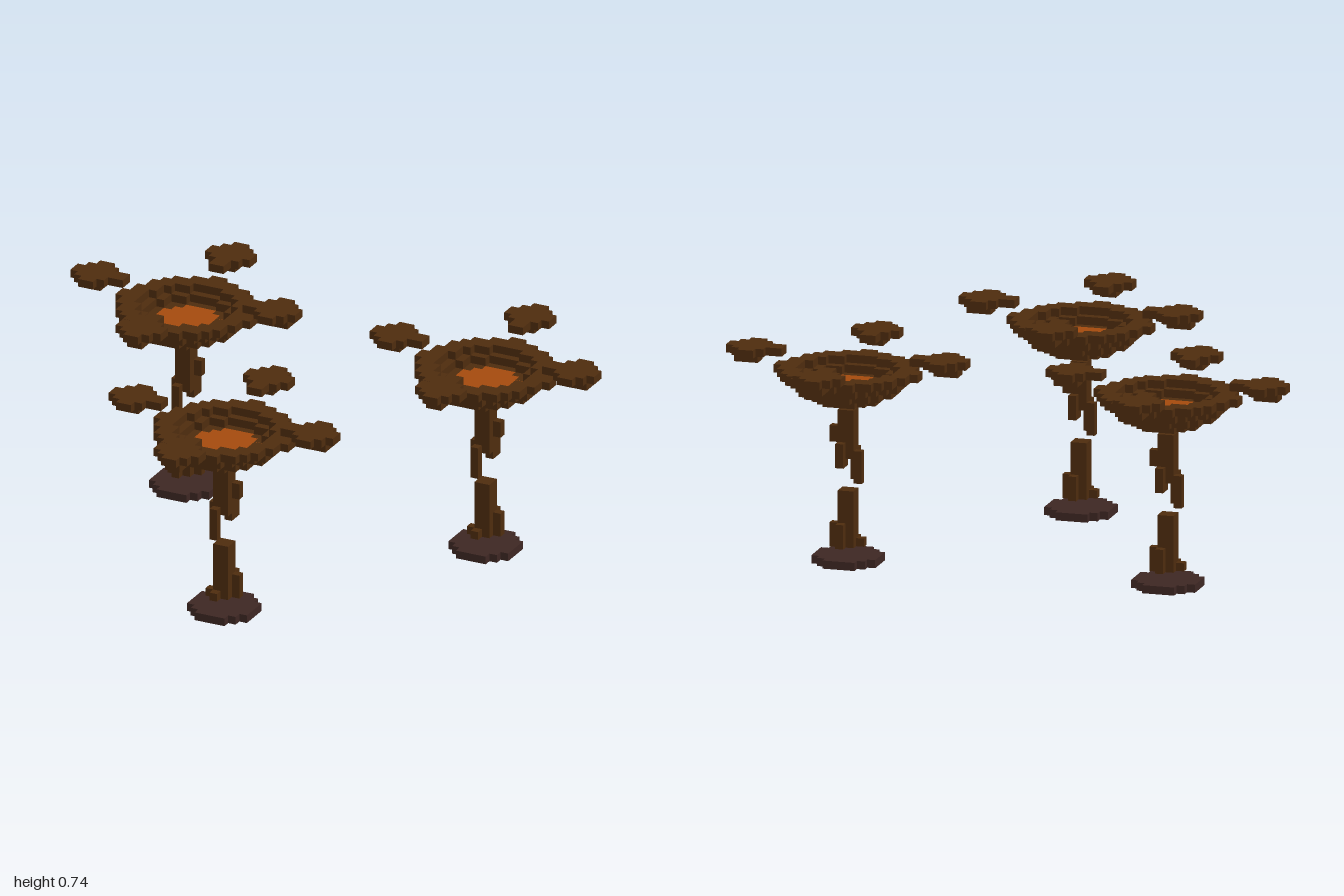
import * as THREE from 'three';

const V = 2 / 70; // edge of one small cube; everything below is counted in cubes

const wood = new THREE.MeshStandardMaterial({ color: 0x4e2c0e });
wood.name = 'brown wood';
const ember = new THREE.MeshStandardMaterial({ color: 0xa54a0d });
ember.name = 'ember orange';
const stone = new THREE.MeshStandardMaterial({ color: 0x3e2723 });
stone.name = 'dark base';

// Half width of every row of a stepped disc
function discRows(r) {
  const rows = [];
  for (let j = -r; j < r; j++) rows.push(Math.floor(Math.sqrt(r * r - (j + 0.5) ** 2) + 0.5));
  return rows;
}

// Stepped, mirror-symmetric outline from half widths, one per row
function steppedOutline(rows, start) {
  const right = [];
  rows.forEach((w, i) => {
    if (i === 0 || rows[i - 1] !== w) {
      if (i > 0) right.push([rows[i - 1], start + i]);
      right.push([w, start + i]);
    }
  });
  right.push([rows[rows.length - 1], start + rows.length]);
  const left = right.map(([x, y]) => [-x, y]).reverse();
  return [...right, ...left].map(([x, y]) => new THREE.Vector2(x, y));
}

// One-cube-thick flat layer lying on the ground plane
function layer(name, material, rows, start, y, holeRows) {
  const shape = new THREE.Shape(steppedOutline(rows, start));
  if (holeRows) shape.holes.push(new THREE.Path(steppedOutline(holeRows, -holeRows.length / 2)));
  const geo = new THREE.ExtrudeGeometry(shape, { depth: 1, bevelEnabled: false });
  geo.rotateX(-Math.PI / 2);
  const mesh = new THREE.Mesh(geo, material);
  mesh.name = name;
  mesh.position.y = y;
  return mesh;
}

const disc = (name, material, r, y, inner) =>
  layer(name, material, discRows(r), -r, y, inner && discRows(inner));

// Box given by its ranges on x, y and z
function block(name, [x0, x1], [y0, y1], [z0, z1]) {
  const mesh = new THREE.Mesh(new THREE.BoxGeometry(x1 - x0, y1 - y0, z1 - z0), wood);
  mesh.name = name;
  mesh.position.set((x0 + x1) / 2, (y0 + y1) / 2, (z0 + z1) / 2);
  return mesh;
}

function createStand() {
  const stand = new THREE.Group();
  stand.name = 'stand';
  stand.add(disc('base', stone, 4, 0));

  // Lower trunk with roots
  stand.add(
    block('lowerTrunk', [-1, 1], [2, 9], [-1, 1]),
    block('rootLeft', [1, 2], [2, 5], [-1, 0]),
    block('rootRight', [-2, -1], [2, 3], [0, 1]),
    block('rootBack', [0, 1], [2, 5], [-2, -1]),
    block('rootFront', [-1, 0], [2, 3], [1, 2]),
  );

  // Upper trunk with twisted strands
  stand.add(
    block('upperTrunk', [-1, 1], [13, 19], [-1, 1]),
    block('trunkHeel', [0, 1], [12, 13], [-1, 0]),
    block('strandRight', [-2, -1], [10, 14], [-1, 0]),
    block('strandFront', [-1, 0], [10, 14], [1, 2]),
    block('strandBack', [0, 1], [12, 15], [-2, -1]),
    block('strandLeft', [1, 2], [15, 17], [-1, 0]),
  );

  // Bowl: floor, ember bed and three widening rings
  stand.add(disc('bowlFloor', wood, 4, 20), disc('emberBed', ember, 4, 21));
  for (let i = 0; i < 3; i++) stand.add(disc('bowlRing', wood, 6 + i, 21 + i, 4 + i));

  // Four arms ending in small leaf plates
  for (let i = 0; i < 4; i++) {
    const arm = new THREE.Group();
    arm.name = 'arm';
    arm.rotation.y = (i * Math.PI) / 2;
    arm.add(
      block('armFoot', [-1, 1], [23, 24], [-9, -8]),
      block('armBracket', [-1, 1], [24, 25], [-14, -11]),
      layer('armPlate', wood, [1, 1, 2, 3, 3, 2, 1], 8, 25),
    );
    stand.add(arm);
  }
  return stand;
}

export function createModel() {
  const model = new THREE.Group();
  model.name = 'bowlStands';
  for (const [x, z] of [[-20, -15], [20, -15], [0, 15]]) {
    const stand = createStand();
    stand.scale.setScalar(V);
    stand.position.set(x * V, 0, z * V);
    model.add(stand);
  }
  return model;
}
